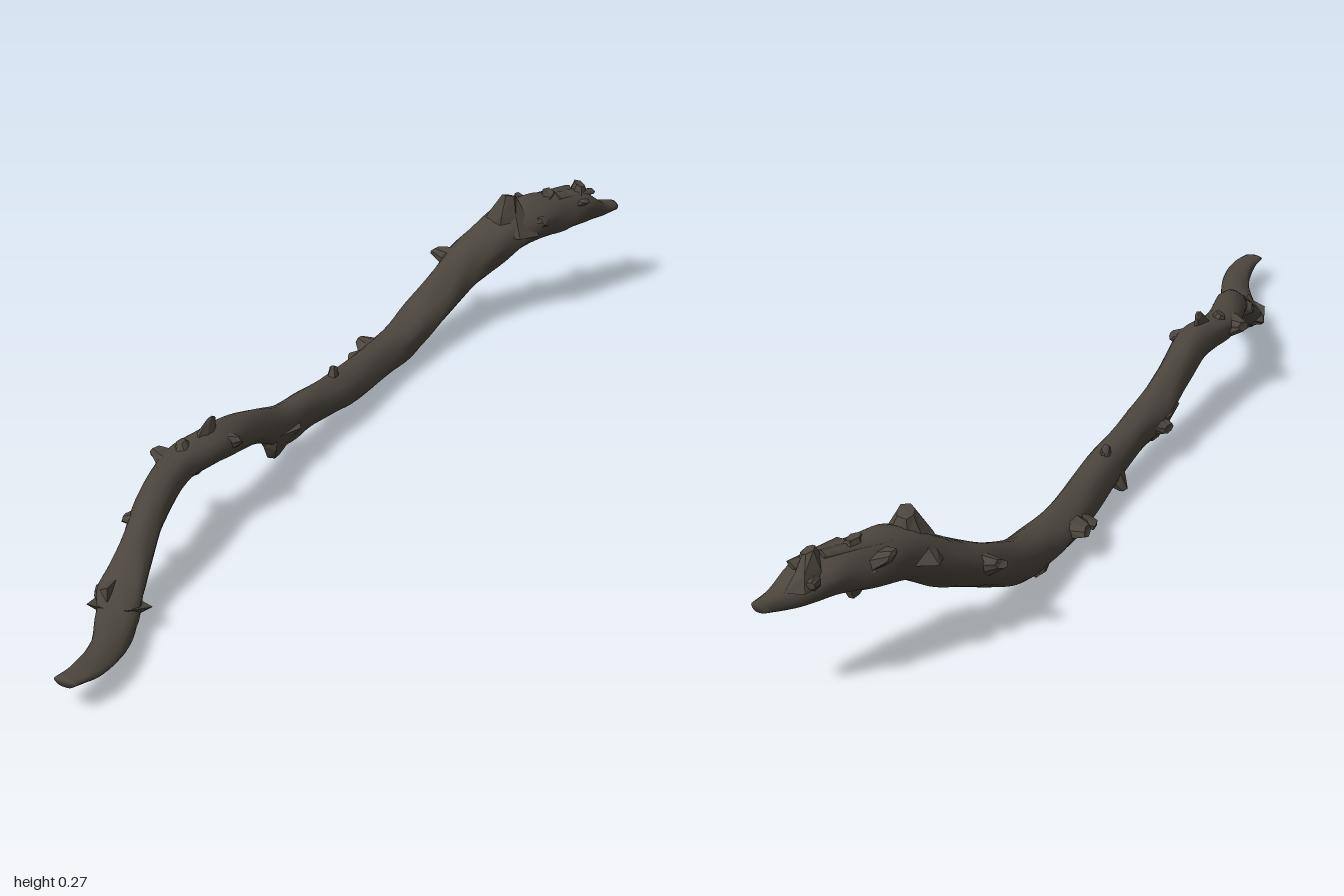
import * as THREE from 'three';

const bark = new THREE.MeshStandardMaterial({ color: 0x4b453d });
bark.name = 'darkBark';

// cross-sections from front tip to back tip: z, x, y, half width, half height
const stations = [
  [1.0, 0.085, 0.053, 0.02, 0.008], [0.95, 0.09, 0.05, 0.026, 0.013],
  [0.86, 0.072, 0.041, 0.033, 0.018], [0.78, 0.033, 0.036, 0.042, 0.021],
  [0.72, -0.002, 0.042, 0.045, 0.03], [0.65, -0.018, 0.085, 0.034, 0.034],
  [0.56, -0.04, 0.132, 0.033, 0.031], [0.43, -0.07, 0.143, 0.036, 0.03],
  [0.33, -0.058, 0.146, 0.037, 0.034], [0.2, -0.062, 0.119, 0.034, 0.034],
  [0.1, -0.062, 0.08, 0.036, 0.041], [0, -0.06, 0.073, 0.032, 0.037],
  [-0.12, -0.06, 0.06, 0.038, 0.036], [-0.3, -0.072, 0.05, 0.041, 0.034],
  [-0.4, -0.075, 0.05, 0.043, 0.036], [-0.5, -0.076, 0.068, 0.043, 0.041],
  [-0.6, -0.07, 0.106, 0.044, 0.043], [-0.66, -0.057, 0.134, 0.05, 0.045],
  [-0.72, -0.024, 0.17, 0.053, 0.051], [-0.78, 0.014, 0.203, 0.054, 0.051],
  [-0.85, 0.047, 0.204, 0.051, 0.046], [-0.91, 0.076, 0.207, 0.047, 0.039],
  [-0.96, 0.105, 0.189, 0.03, 0.021], [-1.0, 0.128, 0.186, 0.014, 0.012],
];
const spine = new THREE.CatmullRomCurve3(stations.map(([z, x, y]) => new THREE.Vector3(x, y, z)));
const radii = new THREE.CatmullRomCurve3(stations.map((s) => new THREE.Vector3(s[3], s[4], 0)));

// smooth gnarled shaft with closed ends
function makeShaft() {
  const rows = 138, sides = 18, pos = [], idx = [];
  for (let i = 0; i <= rows; i++) {
    const t = THREE.MathUtils.clamp((i - 1) / (rows - 2), 0, 1);
    const c = spine.getPoint(t), r = radii.getPoint(t);
    const end = i === 0 || i === rows ? 0 : 1;
    for (let j = 0; j < sides; j++) {
      const a = (j / sides) * Math.PI * 2;
      const k = end * (1 + 0.05 * Math.sin(3 * a + 40 * t) + 0.035 * Math.sin(5 * a - 75 * t));
      pos.push(c.x + Math.cos(a) * r.x * k, c.y + Math.sin(a) * r.y * k, c.z);
      if (i < rows) {
        const n = (j + 1) % sides, p = i * sides;
        idx.push(p + j, p + sides + j, p + n, p + n, p + sides + j, p + sides + n);
      }
    }
  }
  const g = new THREE.BufferGeometry();
  g.setAttribute('position', new THREE.Float32BufferAttribute(pos, 3));
  g.setIndex(idx);
  g.computeVertexNormals();
  return g;
}

// centre of the shaft at a given z
function centreAt(z) {
  let i = 0;
  while (i < stations.length - 2 && stations[i + 1][0] > z) i++;
  const a = stations[i], b = stations[i + 1], f = (z - a[0]) / (b[0] - a[0]);
  return new THREE.Vector3(a[1] + (b[1] - a[1]) * f, a[2] + (b[2] - a[2]) * f, z);
}

// broken twig stub: a ragged, flared cone from inside the shaft to its tip
function makeKnot([x, y, z, width, length, lean], seed) {
  const base = centreAt(z + lean), tip = new THREE.Vector3(x, y, z);
  const up = tip.clone().sub(base), h = up.length();
  const g = new THREE.CylinderGeometry(0.42, 1.35, h, 7, 2).toNonIndexed();
  const p = g.attributes.position;
  up.normalize();
  const along = new THREE.Vector3(0, 0, 1).addScaledVector(up, -up.z).normalize();
  const side = new THREE.Vector3().crossVectors(up, along);
  for (let i = 0; i < p.count; i++) {
    const a = Math.atan2(p.getZ(i), p.getX(i));
    const top = p.getY(i) / h + 0.5;
    const k = 1 + 0.2 * Math.sin(a * 2 + seed * 1.7 + top * 3);
    const v = base.clone()
      .addScaledVector(up, h * top * (1 - 0.07 * top * (1 + Math.sin(a + seed))))
      .addScaledVector(side, p.getX(i) * width * k)
      .addScaledVector(along, p.getZ(i) * length * k);
    p.setXYZ(i, v.x, v.y, v.z);
  }
  g.computeVertexNormals();
  return g;
}

// tip x, y, z, half width, half length, lean of the root along z
const knots = [
  [-0.055, 0.035, 0.72, 0.02, 0.045, -0.01], [0.015, 0.008, 0.75, 0.04, 0.04, -0.01],
  [-0.078, 0.115, 0.6, 0.018, 0.03, -0.02], [-0.13, 0.155, 0.42, 0.02, 0.035, 0.01],
  [-0.01, 0.158, 0.31, 0.02, 0.025, 0.02], [-0.06, 0.204, 0.335, 0.014, 0.025, 0.03],
  [-0.08, 0.182, 0.41, 0.024, 0.03, 0], [-0.065, 0.108, 0.39, 0.02, 0.025, 0],
  [-0.065, 0.022, 0.115, 0.03, 0.05, 0], [-0.115, 0.07, 0.08, 0.022, 0.035, 0],
  [-0.07, 0.112, -0.12, 0.016, 0.025, 0.02], [-0.1, 0.018, -0.1, 0.022, 0.03, 0],
  [-0.135, 0.045, -0.29, 0.02, 0.03, 0], [-0.145, 0.062, -0.345, 0.022, 0.035, 0.02],
  [-0.095, 0.006, -0.44, 0.024, 0.03, 0.01], [-0.135, 0.152, -0.655, 0.022, 0.028, 0],
  [-0.003, 0.275, -0.75, 0.045, 0.035, 0], [-0.03, 0.235, -0.835, 0.02, 0.03, 0.01],
  [0.075, 0.215, -0.78, 0.022, 0.03, 0], [0.04, 0.152, -0.85, 0.03, 0.035, 0],
  [0.045, 0.258, -0.84, 0.035, 0.045, 0], [0.085, 0.262, -0.915, 0.028, 0.04, 0],
  [0.055, 0.22, -0.96, 0.016, 0.02, 0.05], [0.115, 0.23, -0.9, 0.018, 0.035, 0],
];

// bark flakes lifting off the thick end: x, y, z, length, tilt
const flakes = [
  [0.038, 0.244, -0.85, 0.12, 0.08], [0.08, 0.24, -0.895, 0.1, -0.08],
];

export function createModel() {
  const group = new THREE.Group();
  group.name = 'branch';
  const add = (name, geometry) => {
    const mesh = new THREE.Mesh(geometry, bark);
    mesh.name = name;
    group.add(mesh);
    return mesh;
  };
  add('shaft', makeShaft());
  knots.forEach((k, i) => add('twigStub', makeKnot(k, i)));
  flakes.forEach(([x, y, z, len, tilt]) => {
    const flake = add('barkFlake', new THREE.CylinderGeometry(0.3, 0.5, 1, 5));
    flake.scale.set(0.045, len, 0.02);
    flake.rotation.set(-Math.PI / 2 + tilt, 0, -0.5, 'YXZ');
    flake.position.set(x, y, z);
  });
  return group;
}
